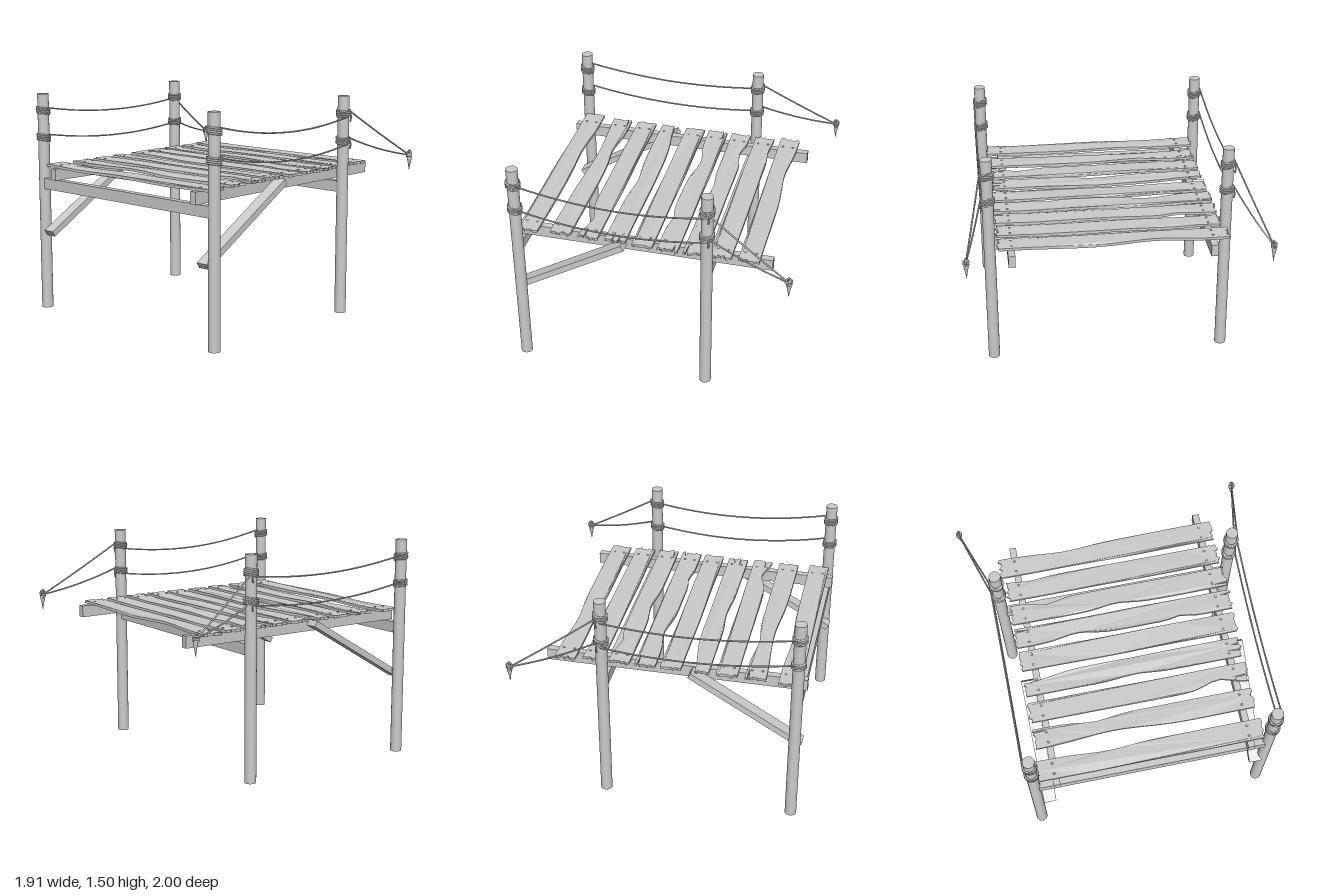
import * as THREE from 'three';

const mat = new THREE.MeshStandardMaterial({ color: 0xcccccc, side: THREE.DoubleSide });
const V = (x, y, z) => new THREE.Vector3(x, y, z);
let seed = 7;
const rand = () => (seed = (seed * 16807) % 2147483647) / 2147483647;

function add(parent, name, geometry, x = 0, y = 0, z = 0) {
  const m = new THREE.Mesh(geometry, mat);
  m.name = name;
  m.position.set(x, y, z);
  parent.add(m);
  return m;
}
const box = (p, name, w, h, d, x, y, z) => add(p, name, new THREE.BoxGeometry(w, h, d), x, y, z);
const tube = (p, name, pts, r, n) =>
  add(p, name, new THREE.TubeGeometry(new THREE.CatmullRomCurve3(pts), n, r, 6));

// Rope hanging between two points, lowered by sag in the middle
function rope(p, name, a, b, sag) {
  const pts = [];
  for (let i = 0; i <= 12; i++) {
    const t = i / 12, q = a.clone().lerp(b, t);
    q.y -= 4 * sag * t * (1 - t);
    pts.push(q);
  }
  tube(p, name, pts, 0.0055, 24);
}

// Rope wound several times around a post
function coil(parent, x, y, z, tilt) {
  const pts = [], steps = 48;
  for (let i = 0; i <= steps; i++) {
    const a = i / 12 * Math.PI * 2, c = Math.cos(a);
    pts.push(V(x + 0.044 * c, y - 0.024 + 0.048 * i / steps + tilt * c, z + 0.044 * Math.sin(a)));
  }
  tube(parent, 'ropeCoil', pts, 0.0065, 96);
}

// Worn hollows in plank edges: side -1 is the -x edge, depth runs inward
const dent = (plank, side, z, depth, length) => ({ plank, side, z, depth, length });
const dents = [
  dent(0, 1, -0.25, 0.018, 0.2), dent(1, -1, -0.2, 0.028, 0.3), dent(1, 1, -0.3, 0.025, 0.15),
  dent(2, -1, 0.57, 0.05, 0.12), dent(3, 1, -0.72, 0.045, 0.25), dent(3, -1, 0.03, 0.02, 0.15),
  dent(5, -1, -0.3, 0.035, 0.15), dent(5, -1, 0.42, 0.02, 0.07), dent(6, -1, 0, 0.022, 0.13),
  dent(6, 1, -0.47, 0.03, 0.1), dent(7, 1, -0.55, 0.014, 0.1), dent(8, 1, -0.27, 0.025, 0.22),
];
// Narrow splits at plank ends: end -1 is the -z end, across runs from -1 to 1
const split = (plank, end, across, depth) => ({ plank, end, across, depth });
const splits = [
  split(1, -1, 0.72, 0.1), split(2, 1, -0.3, 0.1), split(3, 1, -0.25, 0.1),
  split(3, 1, 0.3, 0.06), split(5, -1, 0.7, 0.1), split(5, 1, 0.6, 0.06), split(6, 1, -0.7, 0.1),
];

function plank(parent, centre, index) {
  const half = 0.069;
  const z0 = -0.73 + (rand() - 0.5) * 0.03, z1 = 0.775 + (rand() - 0.5) * 0.02;
  const edge = (side, z) => {
    let inset = 0;
    for (const d of dents) {
      if (d.plank === index && d.side === side) inset += d.depth * Math.exp(-(((z - d.z) / d.length) ** 2));
    }
    return centre + side * (half - inset);
  };

  // outline: one long edge, ragged end, other long edge, ragged end
  const pts = [];
  const raggedEnd = (end, z) => {
    const row = [];
    const xa = edge(-1, z), xb = edge(1, z);
    for (let i = 1; i < 8; i++) row.push([xa + (xb - xa) * i / 8, z + (rand() - 0.5) * 0.03]);
    for (const s of splits) {
      if (s.plank !== index || s.end !== end) continue;
      const x = centre + s.across * half;
      row.push([x - 0.007, z], [x, z - end * s.depth], [x + 0.007, z]);
    }
    row.sort((p, q) => (p[0] - q[0]) * end);
    pts.push(...row);
  };
  const steps = 24, zAt = (i) => z0 + (z1 - z0) * i / steps;
  for (let i = 0; i <= steps; i++) pts.push([edge(-1, zAt(i)), zAt(i)]);
  raggedEnd(1, z1);
  for (let i = steps; i >= 0; i--) pts.push([edge(1, zAt(i)), zAt(i)]);
  raggedEnd(-1, z0);

  const shape = new THREE.Shape(pts.map(([x, z]) => new THREE.Vector2(x, -z)));
  const g = new THREE.ExtrudeGeometry(shape, { depth: 0.018, bevelEnabled: false }).rotateX(-Math.PI / 2);
  // slight warp along the length
  const p = g.attributes.position;
  for (let i = 0; i < p.count; i++) {
    const z = p.getZ(i);
    p.setY(i, p.getY(i) + 0.005 * (Math.cos(z * 7 + index) - 1) * (1 - (z / 0.8) ** 2));
  }
  g.computeVertexNormals();
  add(parent, 'plank', g, 0, 1, 0);

  // two nails over each long beam
  for (const z of [-0.635, 0.685]) {
    for (const side of [-1, 1]) {
      add(parent, 'nail', new THREE.SphereGeometry(0.008, 8, 6), centre + side * 0.036, 1.017, z).scale.y = 0.7;
    }
  }
}

export function createModel() {
  const model = new THREE.Group();
  const frame = new THREE.Group(), deck = new THREE.Group(), ropes = new THREE.Group();
  frame.name = 'frame';
  deck.name = 'deck';
  ropes.name = 'ropes';
  model.add(frame, deck, ropes);

  const postX = [-0.91, 0.37];
  // cross beams between the posts
  for (const x of postX) box(frame, 'crossBeam', 0.05, 0.075, 1.55, x - 0.005, 0.8825, 0.025);

  for (const s of [1, -1]) {
    const z = 0.02 + s * 0.8;
    for (const x of postX) add(frame, 'post', new THREE.CylinderGeometry(0.039, 0.039, 1.5, 24), x, 0.75, z);
    // long beam under the planks
    box(frame, 'longBeam', 1.74, 0.08, 0.046, -0.09, 0.96, 0.029 + s * 0.659);
    // diagonal brace
    const a = V(-0.945, 0.54, 0), b = V(-0.2, 0.982, 0);
    const brace = box(frame, 'brace', a.distanceTo(b), 0.042, 0.085, (a.x + b.x) / 2, (a.y + b.y) / 2, 0.03 + s * 0.727);
    brace.rotation.z = Math.atan2(b.y - a.y, b.x - a.x);

    const out = z + s * 0.044, knot = V(0.925, 1.055, s * 0.98);
    for (const y of [1.385, 1.2]) {
      for (const x of postX) coil(ropes, x, y, z, x < 0 ? -0.005 : 0.005);
      // sagging hand rope
      rope(ropes, 'handRope', V(-0.91, y + 0.022, out), V(0.37, y - 0.022, out), s > 0 ? 0.068 : 0.052);
      // loose rope running to the knot
      rope(ropes, 'endRope', V(0.37, y + 0.022, out), knot, y > 1.3 ? 0.005 : 0.018);
      // hanging tail of the coil
      tube(ropes, 'coilTail', [V(0.39, y, out), V(0.392, y - 0.03, out + s * 0.004), V(0.388, y - 0.06, out)], 0.006, 8);
    }
    // knot with a frayed, pointed end
    for (const i of [-1, 0, 1]) {
      const ring = add(ropes, 'knot', new THREE.TorusGeometry(0.015, 0.007, 6, 14), knot.x, knot.y + i * 0.012, knot.z);
      ring.rotation.set(Math.PI / 2 + i * 0.2, i * 0.4, 0);
    }
    tube(ropes, 'knotLoop', [V(0.905, 1.05, knot.z), V(0.925, 1.088, knot.z), V(0.945, 1.075, knot.z), V(0.945, 1.04, knot.z)], 0.006, 16);
    const profile = [[0, -0.115], [0.009, -0.06], [0.016, -0.03], [0.014, -0.01], [0, 0.005]];
    add(ropes, 'frayedEnd', new THREE.LatheGeometry(profile.map(([r, y]) => new THREE.Vector2(r, y)), 10), 0.93, 1.055, knot.z);
  }

  const plankCentres = [-0.85, -0.63, -0.442, -0.256, -0.072, 0.098, 0.272, 0.45, 0.632];
  plankCentres.forEach((x, i) => plank(deck, x, i));
  return model;
}
